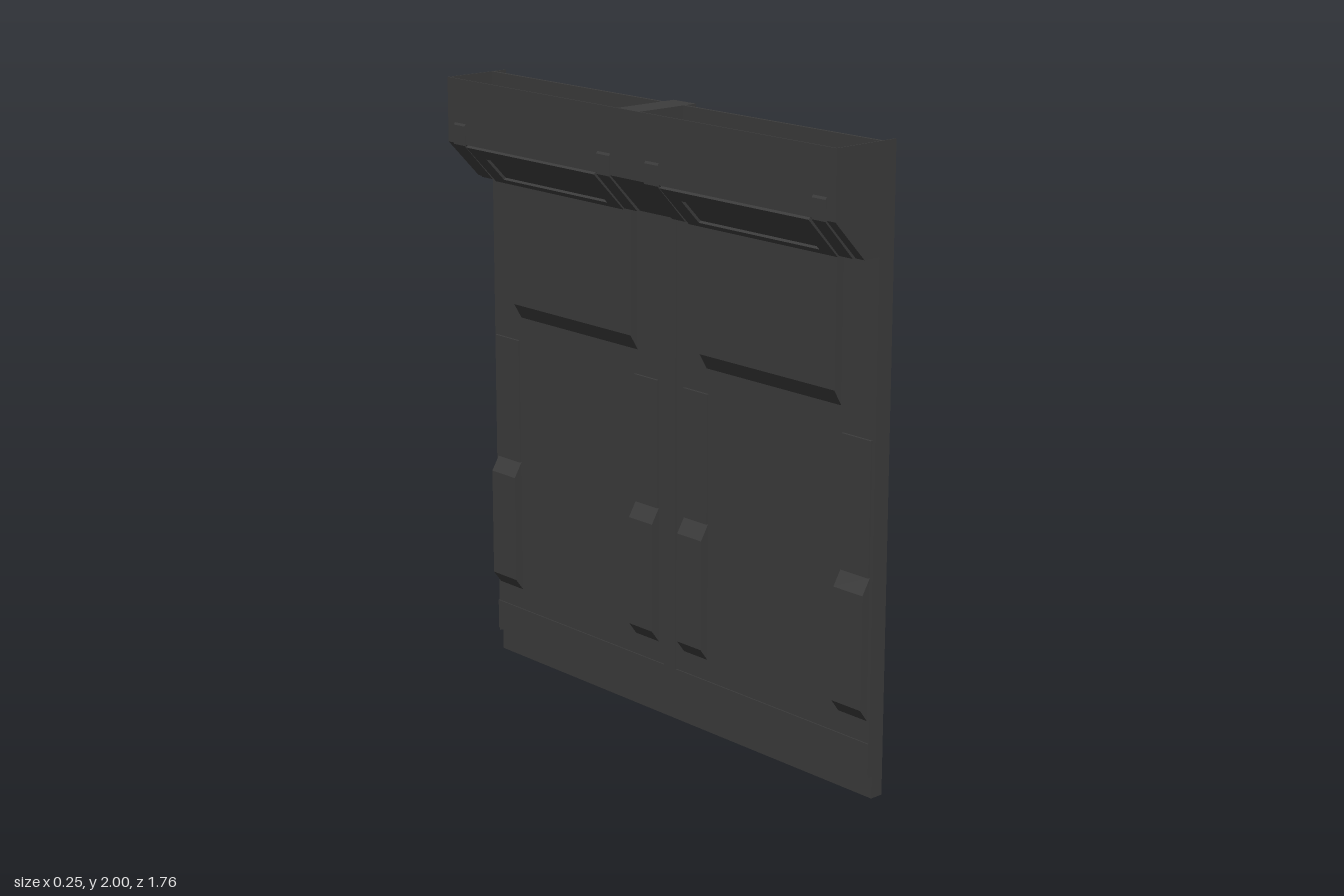
import * as THREE from 'three';

const material = new THREE.MeshStandardMaterial({ color: 0x3c3c3c, side: THREE.DoubleSide, flatShading: true });
const HALF = 0.88; // half length of the wall

export function createModel() {
  const root = new THREE.Group();
  root.name = 'wallPanel';

  const add = (name, geometry) => {
    const mesh = new THREE.Mesh(geometry, material);
    mesh.name = name;
    root.add(mesh);
    return mesh;
  };

  // Cross-section in x/y, pushed along z
  const prism = (name, points, z0, z1) => {
    const shape = new THREE.Shape(points.map(([x, y]) => new THREE.Vector2(x, y)));
    const geometry = new THREE.ExtrudeGeometry(shape, { depth: z1 - z0, bevelEnabled: false });
    return add(name, geometry.translate(0, 0, z0));
  };

  // The same section on both halves of the wall
  const pair = (name, points, z0, z1) => {
    prism(name, points, z0, z1);
    prism(name, points, -z1, -z0);
  };

  const rect = (x0, x1, y0, y1) => [[x0, y0], [x1, y0], [x1, y1], [x0, y1]];

  // Main sheet and thin end plates
  prism('mainPanel', rect(0.06, 0.07, 0.17, 2), -HALF, HALF);
  pair('endPlate', [[0.075, 0], [0.12, 0], [0.12, 2], [0.06, 2], [0.06, 0.07], [0.075, 0.07]], HALF - 0.003, HALF);

  // Sill with a sloped top and a long slot in its outer face
  const sillBack = [[0.07, 0.17], [0.06, 0.17], [0.06, 0.1], [0.06, 0.075], [0.075, 0.075], [0.075, 0]];
  prism('slottedSill', [[0.12, 0], [0.12, 0.075], [0.1, 0.075], [0.1, 0.1], [0.12, 0.1], ...sillBack], -0.75, 0.75);
  pair('sillEnd', [[0.12, 0], [0.12, 0.1], ...sillBack], 0.75, HALF - 0.003);
  prism('skirting', rect(0.056, 0.062, 0.08, 0.18), -HALF, HALF);

  // Central pillar with tapered sides
  const pillarShape = new THREE.Shape();
  pillarShape.moveTo(0.07, -0.05).lineTo(0.11, -0.032).lineTo(0.11, 0.032).lineTo(0.07, 0.05);
  const pillar = new THREE.ExtrudeGeometry(pillarShape, { depth: 1.85, bevelEnabled: false });
  add('centrePillar', pillar.rotateX(-Math.PI / 2).translate(0, 0.15, 0));
  prism('pillarCap', rect(-0.12, 0.112, 1.97, 2), -0.05, 0.05);
  prism('centreStrip', rect(0.052, 0.06, 0.18, 1.66), -0.025, 0.025);

  // Posts with chamfered blocks, beside the centre and at the ends
  const block = [[0.06, 0.25], [0.06, 0.7], [0.03, 0.65], [0.03, 0.29]];
  for (const [z0, z1] of [[0.06, 0.17], [0.75, 0.87]]) {
    pair('post', rect(0.052, 0.06, 0.7, 1.12), z0, z1);
    pair('postBlock', block, z0, z1);
  }

  // Raised upper panels
  pair('upperPanel', [[0.06, 1.2], [0.06, 1.67], [0.03, 1.67], [0.03, 1.25]], 0.16, 0.74);

  // Open-topped header trough with end walls and a central divider
  const outer = [[-0.12, 2], [-0.12, 1.79], [0, 1.665], [0.07, 1.665]];
  const inner = [[0.07, 1.67], [0.003, 1.67], [-0.115, 1.793], [-0.115, 2]];
  prism('headerShell', [...outer, ...inner], -HALF, HALF);
  const section = [...outer, [0.07, 2]];
  pair('headerEnd', section, HALF - 0.004, HALF);
  prism('headerDivider', section, -0.05, 0.05);

  // Brackets and framed plates wrapped over the header's lower edge
  const wrap = [[-0.118, 1.86], [-0.125, 1.85], [-0.125, 1.787], [-0.012, 1.665], [0.01, 1.665], [-0.118, 1.795]];
  pair('bracket', wrap, 0.08, 0.14);
  pair('bracket', wrap, 0.79, 0.845);
  const slope = (t0, t1, d) => {
    // Strip lying on the sloped underside, from t0 to t1 along it
    const at = (t, o) => [-0.12 + 0.12 * t - 0.72 * o, 1.79 - 0.125 * t - 0.69 * o];
    return [at(t0, -0.003), at(t0, d), at(t1, d), at(t1, -0.003)];
  };
  pair('plateSide', slope(0, 1, 0.009), 0.15, 0.21);
  pair('plateSide', slope(0, 1, 0.009), 0.72, 0.78);
  pair('plateTop', slope(0, 0.28, 0.009), 0.21, 0.72);
  pair('plateBottom', slope(0.88, 1, 0.009), 0.21, 0.72);

  return root;
}
